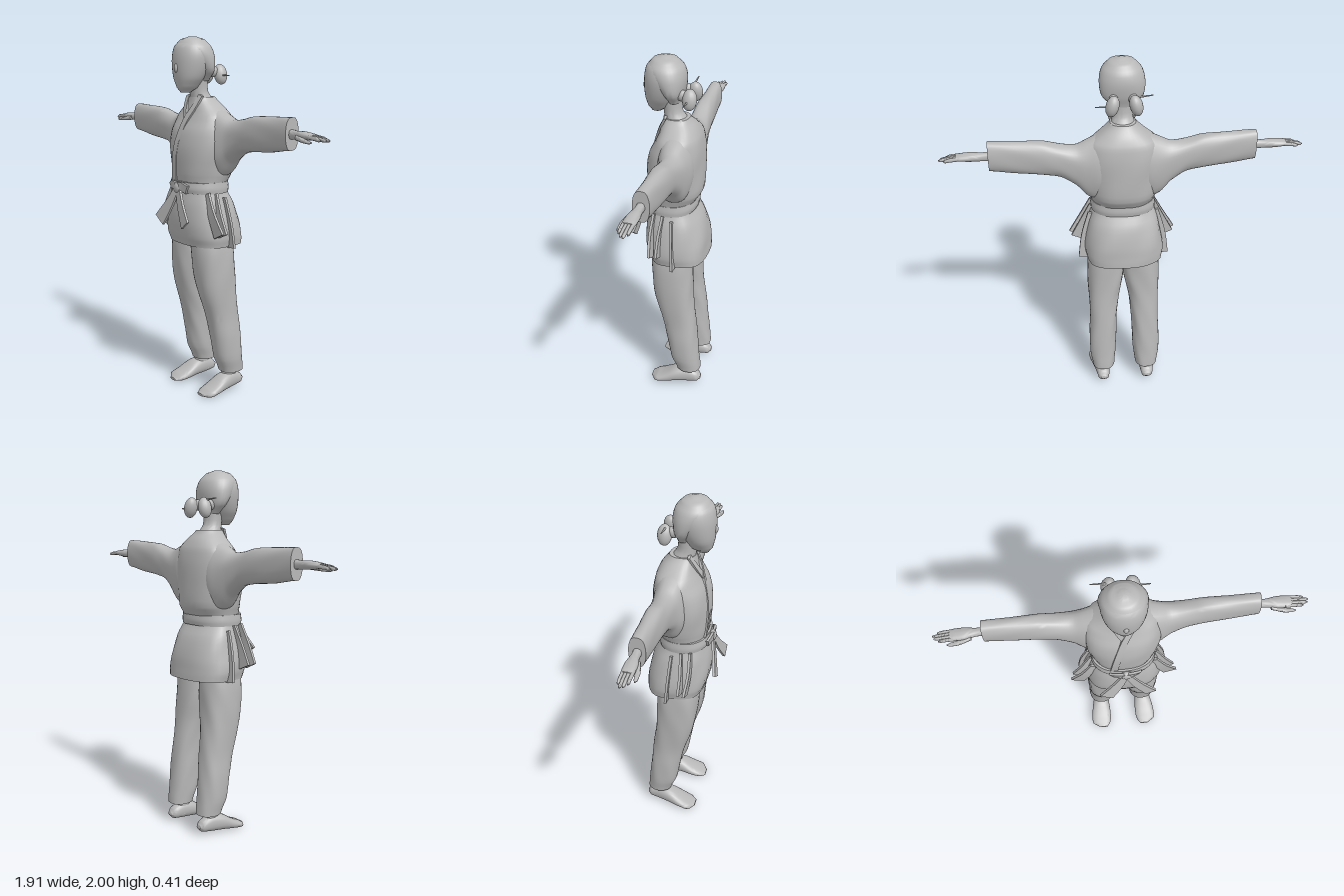
import * as THREE from 'three';
import { toCreasedNormals } from 'three/addons/utils/BufferGeometryUtils.js';

const AXES = { y: ['x', 'z', 'y'], x: ['z', 'y', 'x'], z: ['y', 'x', 'z'] };

// Loft of rounded sections [t, a0, a1, b0, b1] along an axis, smoothed between sections.
function loft(axis, sections, { power = 0.85, caps = [true, true], fold = 0, seg = 32, sub = 4 } = {}) {
  const [A, B, T] = AXES[axis], pos = [], idx = [], n = sections.length, rows = (n - 1) * sub + 1;
  const v = new THREE.Vector3();
  const put = (a, b, t) => { v[A] = a; v[B] = b; v[T] = t; pos.push(v.x, v.y, v.z); };
  const at = (i) => sections[Math.max(0, Math.min(n - 1, i))];
  const soft = (c) => Math.sign(c) * Math.abs(c) ** power;
  const ends = [];
  for (let r = 0; r < rows; r++) {
    const i = Math.min(Math.floor(r / sub), n - 2), f = r / sub - i;
    const s = at(i).map((p1, k) => {
      const p2 = at(i + 1)[k], m1 = (p2 - at(i - 1)[k]) / 2, m2 = (at(i + 2)[k] - p1) / 2;
      if (k === 0) return p1 + (p2 - p1) * f;
      const f2 = f * f, f3 = f2 * f;
      return (2 * f3 - 3 * f2 + 1) * p1 + (f3 - 2 * f2 + f) * m1 + (3 * f2 - 2 * f3) * p2 + (f3 - f2) * m2;
    });
    const ca = (s[1] + s[2]) / 2, cb = (s[3] + s[4]) / 2;
    if (r === 0 || r === rows - 1) ends.push([ca, cb, s[0]]);
    for (let j = 0; j < seg; j++) {
      const q = (j / seg) * Math.PI * 2;
      const w = 1 + fold * Math.sin(5 * q + 14 * s[0]) * Math.sin(9 * s[0] + q);
      put(ca + ((s[2] - s[1]) / 2) * soft(Math.cos(q)) * w, cb + ((s[4] - s[3]) / 2) * soft(Math.sin(q)) * w, s[0]);
    }
  }
  for (let r = 0; r < rows - 1; r++) for (let j = 0; j < seg; j++) {
    const k = (j + 1) % seg, a = r * seg + j, b = r * seg + k;
    idx.push(a, a + seg, b, b, a + seg, b + seg);
  }
  ends.forEach((e, side) => {
    if (!caps[side]) return;
    const c = pos.length / 3, base = side ? (rows - 1) * seg : 0;
    put(...e);
    for (let j = 0; j < seg; j++) {
      const a = base + j, b = base + ((j + 1) % seg);
      side ? idx.push(c, b, a) : idx.push(c, a, b);
    }
  });
  const g = new THREE.BufferGeometry();
  g.setAttribute('position', new THREE.Float32BufferAttribute(pos, 3));
  g.setIndex(idx);
  return toCreasedNormals(g, 0.9);
}

// Flat cloth strip following a curve, facing forward.
function strip(points, w0, w1, thick = 0.014) {
  const curve = new THREE.CatmullRomCurve3(points.map((p) => new THREE.Vector3(...p)));
  const g = new THREE.BoxGeometry(1, 1, thick, 2, 10, 1), p = g.attributes.position;
  for (let i = 0; i < p.count; i++) {
    const t = 0.5 - p.getY(i), c = curve.getPoint(t), d = curve.getTangent(t);
    const l = Math.hypot(d.x, d.y) || 1, w = p.getX(i) * (w0 + (w1 - w0) * t);
    p.setXYZ(i, c.x - (d.y / l) * w, c.y + (d.x / l) * w, c.z + p.getZ(i));
  }
  return toCreasedNormals(g, 0.7);
}

// Mirrored copy across x with the corner order restored.
function mirror(geo) {
  const g = geo.index ? geo.toNonIndexed() : geo.clone();
  g.scale(-1, 1, 1);
  for (const a of Object.values(g.attributes)) {
    for (let i = 0; i < a.count; i += 3) for (let k = 0; k < a.itemSize; k++) {
      const t = a.getComponent(i + 1, k);
      a.setComponent(i + 1, k, a.getComponent(i + 2, k));
      a.setComponent(i + 2, k, t);
    }
  }
  return g;
}

export function createModel() {
  const root = new THREE.Group();
  root.name = 'martialArtist';
  const clay = new THREE.MeshStandardMaterial({ color: 0xb8b8b8, side: THREE.DoubleSide });
  clay.name = 'grey clay';
  const add = (name, geo) => {
    const m = new THREE.Mesh(geo, clay);
    m.name = name;
    root.add(m);
  };
  const pair = (name, geo) => { add(name + 'Left', geo); add(name + 'Right', mirror(geo)); };

  // Head, hair and neck
  add('head', loft('y', [
    [1.705, -0.025, 0.025, 0.07, 0.125], [1.73, -0.052, 0.052, 0.03, 0.143], [1.78, -0.086, 0.086, 0, 0.155],
    [1.84, -0.106, 0.106, -0.035, 0.16], [1.9, -0.112, 0.112, -0.05, 0.158], [1.95, -0.098, 0.098, -0.038, 0.145],
    [1.985, -0.062, 0.062, -0.005, 0.11], [1.998, -0.02, 0.02, 0.03, 0.07]], { power: 0.95 }));
  add('hair', loft('y', [
    [1.765, -0.06, 0.06, -0.035, 0.03], [1.82, -0.108, 0.108, -0.052, 0.06], [1.89, -0.118, 0.118, -0.06, 0.115],
    [1.945, -0.104, 0.104, -0.047, 0.141], [1.985, -0.066, 0.066, -0.01, 0.114], [2, -0.02, 0.02, 0.03, 0.07]], { power: 0.95 }));
  add('nose', new THREE.SphereGeometry(1, 12, 8).scale(0.013, 0.024, 0.012).translate(0, 1.835, 0.158));
  add('neck', loft('y', [[1.58, -0.08, 0.08, -0.1, 0.06], [1.66, -0.065, 0.065, -0.075, 0.055],
    [1.71, -0.052, 0.052, -0.04, 0.06], [1.8, -0.055, 0.055, -0.035, 0.07]], { power: 1 }));

  // Hair buns with their pins
  pair('hairBun', new THREE.SphereGeometry(1, 18, 14).scale(0.034, 0.056, 0.038).rotateZ(0.25).translate(0.06, 1.8, -0.092));
  pair('bunTie', new THREE.SphereGeometry(1, 12, 8).scale(0.025, 0.03, 0.035).translate(0.05, 1.815, -0.05));
  add('hairPinLeft', new THREE.CylinderGeometry(0.006, 0.003, 0.09, 8).rotateZ(Math.PI / 2).translate(0.1, 1.795, -0.085));
  add('hairPinRight', new THREE.CylinderGeometry(0.003, 0.006, 0.09, 8).rotateZ(Math.PI / 2 - 0.1).translate(-0.1, 1.845, -0.085));

  // Jacket
  add('jacketBody', loft('y', [
    [1.18, -0.16, 0.16, -0.11, 0.125], [1.22, -0.168, 0.168, -0.13, 0.13], [1.27, -0.182, 0.182, -0.158, 0.137],
    [1.4, -0.2, 0.2, -0.16, 0.14], [1.5, -0.2, 0.2, -0.157, 0.122], [1.58, -0.18, 0.18, -0.143, 0.083],
    [1.63, -0.12, 0.12, -0.118, 0.067], [1.68, -0.068, 0.068, -0.08, 0.058]], { fold: 0.02 }));
  pair('sleeve', loft('x', [
    [0.06, -0.13, 0.06, 1.32, 1.62], [0.13, -0.135, 0.06, 1.26, 1.615], [0.19, -0.125, 0.045, 1.27, 1.592],
    [0.25, -0.115, 0.025, 1.34, 1.568], [0.33, -0.105, 0.015, 1.395, 1.575], [0.42, -0.1, 0.01, 1.412, 1.597],
    [0.56, -0.09, 0.003, 1.425, 1.604], [0.7, -0.085, 0, 1.445, 1.61]], { fold: 0.02 }));
  add('overLapel', strip([[0.058, 1.69, 0.035], [0.04, 1.63, 0.066], [0, 1.55, 0.1], [-0.04, 1.4, 0.136], [-0.06, 1.22, 0.128]], 0.03, 0.04));
  add('underLapel', strip([[-0.058, 1.69, 0.035], [-0.04, 1.63, 0.066], [-0.005, 1.56, 0.094]], 0.03, 0.03));

  // Jacket skirt, open at the hem, with side flaps
  add('jacketSkirt', loft('y', [
    [0.87, -0.21, 0.21, -0.2, 0.125], [0.92, -0.218, 0.218, -0.197, 0.14], [1.0, -0.21, 0.21, -0.188, 0.15],
    [1.1, -0.19, 0.19, -0.158, 0.145], [1.19, -0.162, 0.162, -0.11, 0.128]], { power: 0.75, caps: [false, true], fold: 0.025 }));
  pair('frontSideFlap', strip([[0.165, 1.17, 0.07], [0.21, 1.06, 0.075], [0.262, 0.95, 0.065]], 0.03, 0.08));
  pair('middleSideFlap', strip([[0.16, 1.16, 0.02], [0.205, 1.05, 0.03], [0.25, 0.945, 0.03]], 0.05, 0.08));
  pair('rearSideFlap', strip([[0.17, 1.14, -0.03], [0.205, 1.0, -0.04], [0.218, 0.865, -0.05]], 0.05, 0.07));

  // Belt with knot, loops and hanging ends
  add('belt', loft('y', [[1.165, -0.176, 0.176, -0.13, 0.142], [1.19, -0.178, 0.178, -0.134, 0.147],
    [1.225, -0.174, 0.174, -0.13, 0.142]], { sub: 3 }));
  add('beltKnot', new THREE.SphereGeometry(1, 14, 10).scale(0.034, 0.034, 0.022).translate(0.005, 1.19, 0.152));
  pair('beltLoop', strip([[0, 1.195, 0.155], [0.035, 1.205, 0.158], [0.075, 1.185, 0.142]], 0.035, 0.05));
  add('beltEndLeft', strip([[0.01, 1.19, 0.155], [0.06, 1.1, 0.175], [0.135, 1.005, 0.198]], 0.035, 0.07));
  add('beltEndRight', strip([[0, 1.19, 0.155], [-0.045, 1.1, 0.175], [-0.11, 1.0, 0.198]], 0.035, 0.085));

  // Trousers
  pair('trouserLeg', loft('y', [
    [0.115, 0.065, 0.192, -0.193, -0.055], [0.2, 0.054, 0.205, -0.184, -0.02], [0.33, 0.047, 0.207, -0.172, 0.003],
    [0.45, 0.042, 0.2, -0.16, 0.03], [0.6, 0.024, 0.205, -0.142, 0.075], [0.72, 0, 0.207, -0.135, 0.095],
    [0.86, -0.01, 0.2, -0.13, 0.105], [1.02, -0.01, 0.17, -0.12, 0.1]], { fold: 0.025 }));

  // Feet
  pair('ankle', loft('y', [[0.04, 0.095, 0.17, -0.165, -0.07], [0.09, 0.098, 0.168, -0.15, -0.06], [0.16, 0.095, 0.17, -0.15, -0.07]], { seg: 20 }));
  pair('foot', loft('z', [
    [-0.198, 0.04, 0.06, 0.115, 0.15], [-0.18, 0.022, 0.082, 0.1, 0.165], [-0.12, 0.013, 0.108, 0.093, 0.178],
    [-0.05, 0.008, 0.1, 0.086, 0.195], [0.02, 0.002, 0.06, 0.083, 0.207], [0.07, 0, 0.038, 0.09, 0.205],
    [0.1, 0.006, 0.02, 0.11, 0.165]], { seg: 24 }));

  // Hands
  pair('palm', loft('x', [[0.66, -0.064, -0.02, 1.5, 1.555], [0.73, -0.062, -0.02, 1.503, 1.547],
    [0.79, -0.07, -0.008, 1.505, 1.548], [0.845, -0.07, -0.006, 1.51, 1.542], [0.865, -0.066, -0.01, 1.515, 1.538]], { seg: 20 }));
  [[-0.059, 0.93], [-0.044, 0.955], [-0.029, 0.948], [-0.014, 0.925]].forEach(([z, tip], i) => {
    pair('finger' + (i + 1), loft('x', [[0.83, z - 0.009, z + 0.009, 1.516, 1.538], [0.9, z - 0.008, z + 0.008, 1.511, 1.531],
      [tip - 0.01, z - 0.007, z + 0.007, 1.508, 1.524], [tip, z - 0.003, z + 0.003, 1.512, 1.519]], { seg: 10, sub: 3 }));
  });
  pair('thumb', loft('x', [[0.76, -0.03, -0.005, 1.503, 1.53], [0.82, -0.015, 0.012, 1.498, 1.52],
    [0.87, -0.005, 0.013, 1.496, 1.511], [0.885, 0.001, 0.008, 1.5, 1.507]], { seg: 10, sub: 3 }));

  return root;
}
